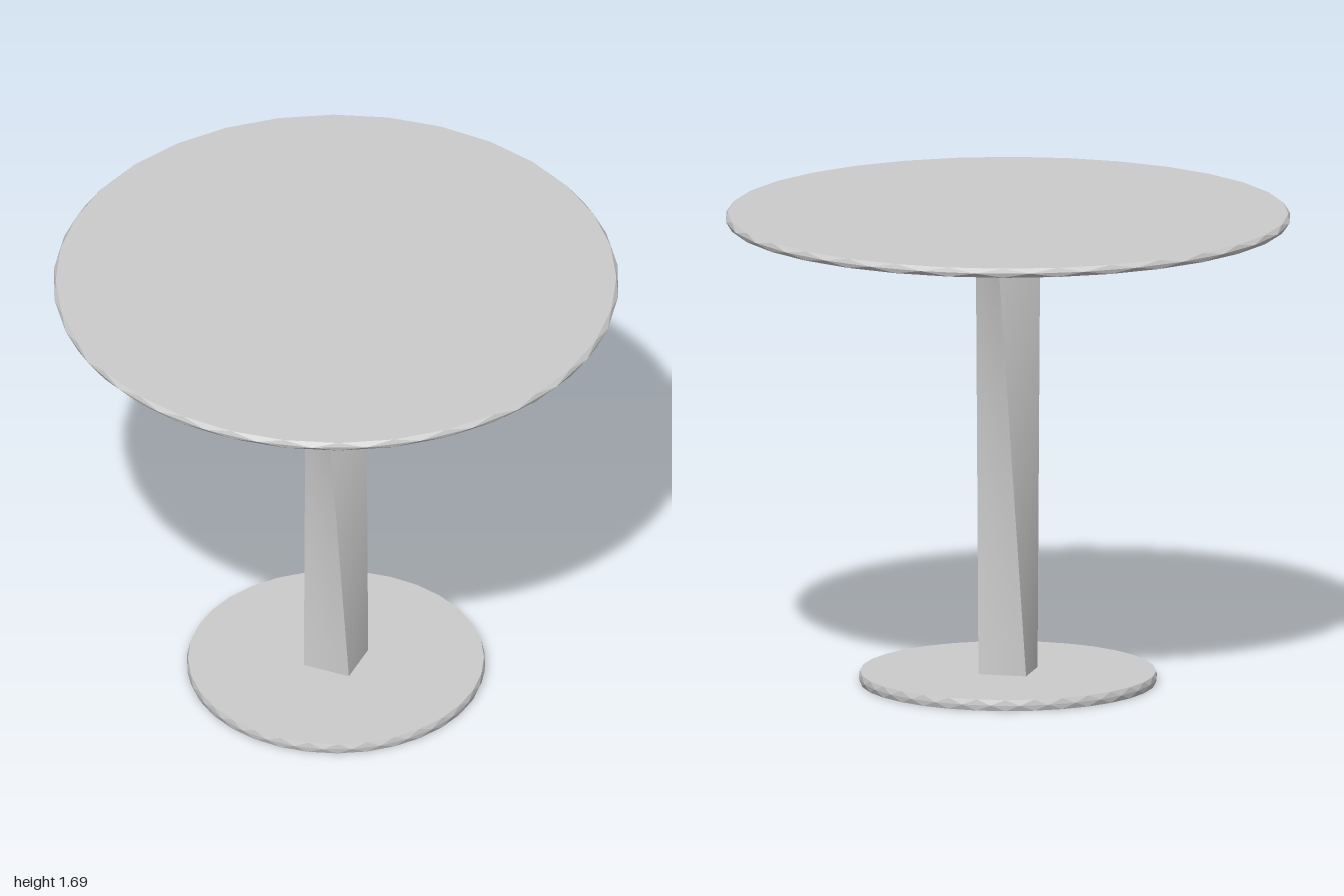
import * as THREE from 'three';

const material = new THREE.MeshStandardMaterial({ color: 0xcccccc });
const flatMaterial = new THREE.MeshStandardMaterial({ color: 0xcccccc, flatShading: true });

// Round slab with a faceted, pointed rim; each rim ring is turned half a step.
function makeSlab(name, radius, y0, y1, bevel, sides = 32) {
  const profile = [
    [0, y0], [radius - bevel, y0], [radius, (y0 + y1) / 2], [radius - bevel, y1], [0, y1],
  ].map(([x, y]) => new THREE.Vector2(x, y));
  const geometry = new THREE.LatheGeometry(profile, sides);
  const pos = geometry.attributes.position;
  const turns = [0, 0, 0.5, 1, 1];
  const up = new THREE.Vector3(0, 1, 0);
  const p = new THREE.Vector3();
  for (let i = 0; i < pos.count; i++) {
    p.fromBufferAttribute(pos, i).applyAxisAngle(up, turns[i % 5] * 2 * Math.PI / sides);
    pos.setXYZ(i, p.x, p.y, p.z);
  }
  geometry.computeVertexNormals();
  const mesh = new THREE.Mesh(geometry, flatMaterial);
  mesh.name = name;
  return mesh;
}

// Square column whose straight edges lean, so that the top is turned against the foot.
function makeColumn(y0, y1) {
  const column = new THREE.Group();
  column.name = 'twistedColumn';
  const corner = (x, z, y, quarter) =>
    new THREE.Vector3(x, y, z).applyAxisAngle(new THREE.Vector3(0, 1, 0), quarter * Math.PI / 2);
  for (let side = 0; side < 4; side++) {
    const [footA, footB] = [side, side + 1].map((q) => corner(0.066, 0.103, y0, q));
    const [topA, topB] = [side, side + 1].map((q) => corner(-0.04, 0.115, y1, q));
    const geometry = new THREE.PlaneGeometry(1, 1, 4, 14);
    const pos = geometry.attributes.position;
    for (let i = 0; i < pos.count; i++) {
      const u = pos.getX(i) + 0.5;
      const v = pos.getY(i) + 0.5;
      const left = footA.clone().lerp(topA, v);
      const p = left.lerp(footB.clone().lerp(topB, v), u);
      pos.setXYZ(i, p.x, p.y, p.z);
    }
    geometry.computeVertexNormals();
    const face = new THREE.Mesh(geometry, material);
    face.name = 'columnSide';
    column.add(face);
  }
  return column;
}

export function createModel() {
  const table = new THREE.Group();
  table.name = 'pedestalTable';
  table.add(
    makeSlab('tableTop', 1.0, 1.657, 1.69, 0.01),
    makeColumn(0.035, 1.66),
    makeSlab('base', 0.528, 0, 0.04, 0.005),
  );
  return table;
}
